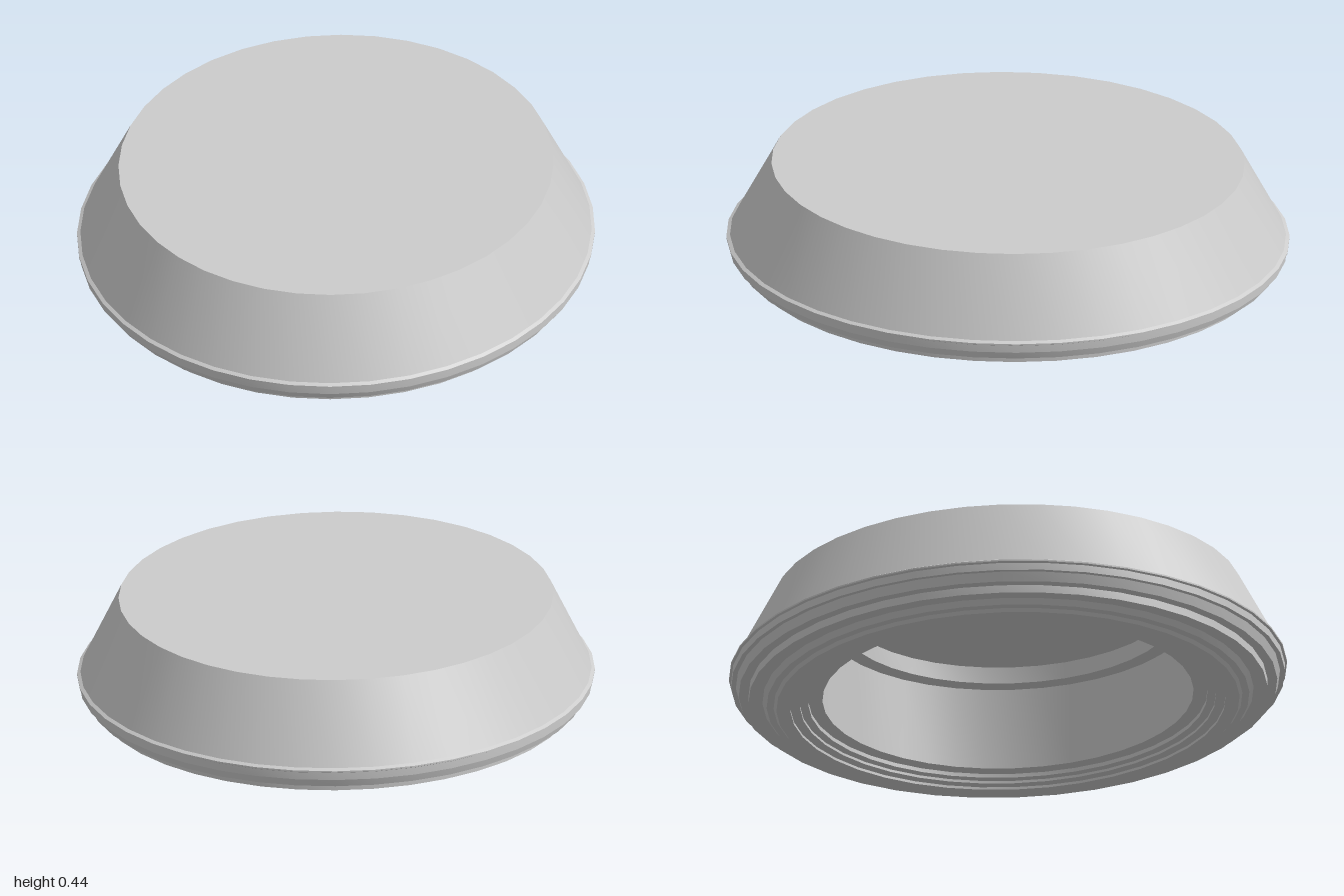
import * as THREE from 'three';
import { toCreasedNormals } from 'three/addons/utils/BufferGeometryUtils.js';

// Half-section as [radius, height], from the inner ceiling round to the top
const recess = [
  [0, 0.42], [0.606, 0.42], [0.606, 0.355], [0.665, 0.355], [0.665, 0.035], // ceiling, ledge, wall
  [0.715, 0.035], [0.715, 0.02], [0.745, 0.02], [0.745, 0.01], [0.78, 0.01], [0.78, 0], // inner steps
];
const outside = [
  [0.83, 0], [0.84, 0.012], [0.865, 0.015], [0.88, 0.035], // foot
  [0.93, 0.035], [0.93, 0.065], [0.965, 0.065], [0.975, 0.10], // outer steps
  [0.992, 0.10], [0.992, 0.128], [1.0, 0.132], [1.0, 0.138], [0.987, 0.145], // lip
  [0.84, 0.435], [0, 0.435], // sloping wall and flat top
];

export function createModel() {
  const group = new THREE.Group();
  const material = new THREE.MeshStandardMaterial({ color: 0xcccccc });
  const profile = [...recess, ...outside].map(([r, y]) => new THREE.Vector2(r, y));
  // The plan is a slight oval, its long axis running from front left to back right
  const oval = new THREE.LatheGeometry(profile, 40)
    .scale(1.043, 1, 0.955)
    .rotateY(-Math.PI / 4);
  const cap = new THREE.Mesh(toCreasedNormals(oval, 0.4), material);
  cap.name = 'hollowSteppedCap';
  group.add(cap);
  return group;
}
